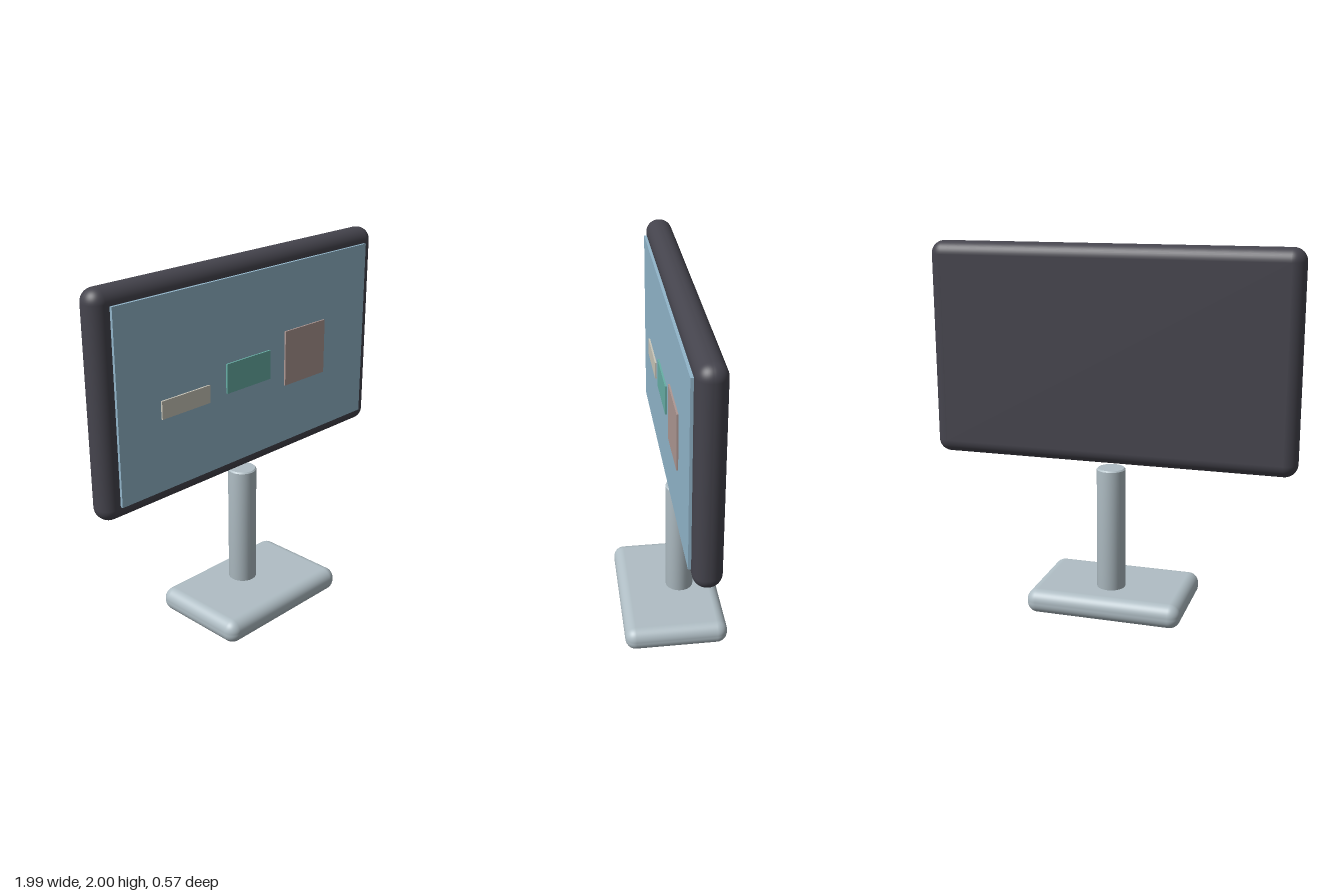
import * as THREE from 'three';
import { RoundedBoxGeometry } from 'three/addons/geometries/RoundedBoxGeometry.js';

function material(name, color) {
  const m = new THREE.MeshStandardMaterial({ color });
  m.name = name;
  return m;
}

export function createModel() {
  const model = new THREE.Group();
  model.name = 'desktopMonitor';

  const casing = material('charcoal', 0x45444d);
  const metal = material('silverGrey', 0xb0bec5);
  const glass = material('screenBlue', 0x92b6cb);
  const cream = material('cream', 0xc9c6b9);
  const teal = material('teal', 0x68afa6);
  const rose = material('dustyRose', 0xae9893);

  const add = (name, geometry, mat, x, y, z) => {
    const mesh = new THREE.Mesh(geometry, mat);
    mesh.name = name;
    mesh.position.set(x, y, z);
    model.add(mesh);
  };

  // Pillow-edged foot and display casing
  add('base', new RoundedBoxGeometry(0.86, 0.132, 0.57, 6, 0.06), metal, 0, 0.066, 0);
  add('casing', new RoundedBoxGeometry(1.99, 1.16, 0.146, 6, 0.07), casing, 0, 1.42, -0.067);

  // Round post with a slightly eased top edge
  const profile = [[0, 0.1], [0.078, 0.1], [0.078, 0.803], [0.078, 0.803], [0.071, 0.81], [0.071, 0.81], [0, 0.81]]
    .map(([r, y]) => new THREE.Vector2(r, y));
  add('post', new THREE.LatheGeometry(profile, 40), metal, 0, 0, -0.065);

  // Display panel standing just proud of the casing
  add('screen', new THREE.BoxGeometry(1.81, 1.0, 0.03), glass, 0, 1.42, 0.006);

  // Thin tiles on the screen: name, material, left, right, bottom, top
  const tiles = [
    ['leftTile', cream, -0.64, -0.32, 1.305, 1.4],
    ['middleTile', teal, -0.2, 0.12, 1.32, 1.48],
    ['rightTile', rose, 0.238, 0.555, 1.25, 1.555],
  ];
  for (const [name, mat, x0, x1, y0, y1] of tiles) {
    add(name, new THREE.BoxGeometry(x1 - x0, y1 - y0, 0.0095), mat, (x0 + x1) / 2, (y0 + y1) / 2, 0.0255);
  }

  return model;
}
